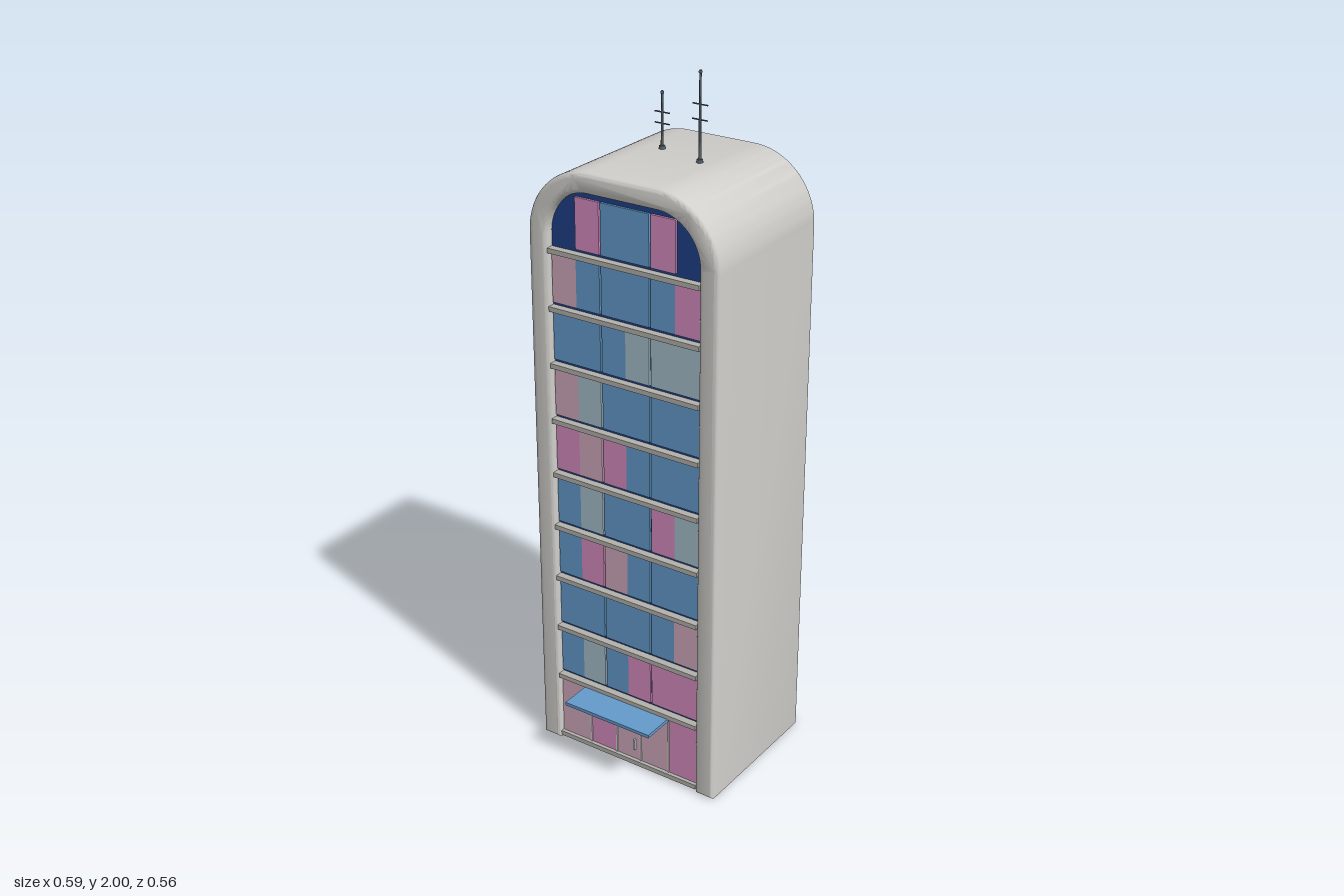
import * as THREE from 'three';
import { toCreasedNormals } from 'three/addons/utils/BufferGeometryUtils.js';

const mat = (name, color, side = THREE.FrontSide) => {
  const m = new THREE.MeshStandardMaterial({ color, side });
  m.name = name;
  return m;
};

export function createModel() {
  const shellMat = mat('pale shell', 0xd0cfcb);
  const slabMat = mat('slab grey', 0xb2b1ac);
  const navy = mat('navy core', 0x1f4088);
  const metal = mat('mast metal', 0x56616c);
  const glass = {
    B: mat('blue glass', 0x659bcb),
    P: mat('pink glass', 0xd48cc0),
    L: mat('dusty pink glass', 0xd0aabd),
    G: mat('grey blue glass', 0xa6bfcc),
    T: mat('teal glass', 0x5cc8c8),
  };

  const model = new THREE.Group();
  model.name = 'tower';
  const add = (parent, name, geo, material, x = 0, y = 0, z = 0) => {
    const mesh = new THREE.Mesh(geo, material);
    mesh.name = name;
    mesh.position.set(x, y, z);
    parent.add(mesh);
    return mesh;
  };
  const box = (parent, name, material, w, h, d, x, y, z) =>
    add(parent, name, new THREE.BoxGeometry(w, h, d), material, x, y, z);

  const FRONT = 0.19, BACK = -0.28, MID = (FRONT + BACK) / 2;

  // Rounded arch shell with open front, back and foot
  const shell = new THREE.Shape();
  shell.moveTo(-0.296, 0);
  shell.lineTo(-0.236, 0);
  shell.lineTo(-0.236, 1.573);
  shell.absarc(-0.106, 1.573, 0.13, Math.PI, Math.PI / 2, true);
  shell.absarc(0.106, 1.573, 0.13, Math.PI / 2, 0, true);
  shell.lineTo(0.236, 0);
  shell.lineTo(0.296, 0);
  shell.lineTo(0.296, 1.57);
  shell.absarc(0.106, 1.57, 0.19, 0, Math.PI / 2, false);
  shell.absarc(-0.106, 1.57, 0.19, Math.PI / 2, Math.PI, false);
  shell.closePath();
  const bevel = 0.014;
  const shellGeo = new THREE.ExtrudeGeometry(shell, {
    depth: FRONT - BACK - 2 * bevel, curveSegments: 14, bevelEnabled: true,
    bevelThickness: bevel, bevelSize: bevel, bevelOffset: -bevel, bevelSegments: 4,
  });
  add(model, 'shell', toCreasedNormals(shellGeo, 0.7), shellMat, 0, 0, BACK + bevel);

  // Dark core filling the arch, set back from both faces
  const core = new THREE.Shape();
  core.moveTo(-0.24, 0.01);
  core.lineTo(0.24, 0.01);
  core.lineTo(0.24, 1.573);
  core.absarc(0.106, 1.573, 0.134, 0, Math.PI / 2, false);
  core.absarc(-0.106, 1.573, 0.134, Math.PI / 2, Math.PI, false);
  core.closePath();
  const recess = 0.025;
  add(model, 'core', new THREE.ExtrudeGeometry(core, {
    depth: FRONT - BACK - 2 * recess, bevelEnabled: false, curveSegments: 14,
  }), navy, 0, 0, BACK + recess);

  // Window rows from top to bottom, each seen from outside, left to right
  const frontRows = ['-PBBP-', 'LBBBBP', 'BBBGGG', 'LGBBBB', 'PLPBBB', 'BGBBPG', 'BPLBBB', 'BBBBBL', 'BGBPPP'];
  const backRows = ['-BGTB-', 'LPGBGB', 'BGBBPL', 'GGGGLB', 'PBGPTL', 'BBGBLG', 'PPGPBG', 'PLGPBB', 'GTLPBB'];
  const doors = [-0.235, -0.132, -0.042, 0.042, 0.138, 0.235];
  const half = (FRONT - BACK) / 2;
  const faceZ = half - recess;
  const pitch = 0.1637, cell = 0.0777;

  const facade = (name, rows, ground, gapAt) => {
    const g = new THREE.Group();
    g.name = name;
    rows.forEach((row, r) => {
      const slabY = 1.527 - r * pitch;
      box(g, 'floorSlab', slabMat, 0.472, 0.014, 0.024, 0, slabY, faceZ + 0.01);
      [...row].forEach((c, i) => {
        if (c === '-') return;
        const x0 = (i - 3) * cell + (gapAt(i) ? 0.0025 : 0);
        const x1 = (i - 2) * cell - (gapAt(i + 1) ? 0.0025 : 0);
        box(g, 'windowPane', glass[c], x1 - x0, 0.142, 0.008,
          (x0 + x1) / 2, slabY + 0.0865, faceZ + 0.003);
      });
    });
    // Street level panels, posts and sill
    [...ground].forEach((c, i) => {
      box(g, 'shopPane', glass[c], doors[i + 1] - doors[i], 0.178, 0.008,
        (doors[i] + doors[i + 1]) / 2, 0.111, faceZ + 0.003);
      if (i) box(g, 'shopPost', shellMat, 0.005, 0.178, 0.008, doors[i], 0.111, faceZ + 0.006);
    });
    box(g, 'sill', slabMat, 0.472, 0.014, 0.02, 0, 0.015, faceZ + 0.008);
    g.position.z = MID;
    model.add(g);
    return g;
  };
  const front = facade('frontFacade', frontRows, 'LPLLP', (i) => i === 2 || i === 4);
  facade('backFacade', backRows, 'LLPPL', () => true).rotation.y = Math.PI;

  // Door rail and handle
  box(front, 'doorRail', shellMat, 0.08, 0.005, 0.008, 0, 0.125, faceZ + 0.006);
  box(front, 'doorHandle', shellMat, 0.005, 0.035, 0.008, 0.022, 0.072, faceZ + 0.01);

  // Entrance canopy
  box(model, 'canopy', glass.B, 0.286, 0.01, 0.115, 0, 0.207, 0.2225);

  // Roof masts with cross bars
  const mast = (x, z, top, bars) => {
    const g = new THREE.Group();
    g.name = 'roofMast';
    const base = 1.755;
    add(g, 'mastPole', new THREE.CylinderGeometry(0.003, 0.004, top - base, 6), metal, 0, (top + base) / 2, 0);
    add(g, 'mastFoot', new THREE.CylinderGeometry(0.008, 0.01, 0.014, 6), metal, 0, base + 0.007, 0);
    add(g, 'mastTip', new THREE.SphereGeometry(0.005, 8, 6), metal, 0, top - 0.005, 0);
    for (const y of bars) box(g, 'mastBar', metal, 0.046, 0.003, 0.003, 0, y, 0);
    g.position.set(x, 0, z);
    model.add(g);
  };
  mast(0.081, -0.048, 2.0, [1.912, 1.872]);
  mast(-0.063, -0.089, 1.915, [1.858, 1.828]);

  return model;
}
